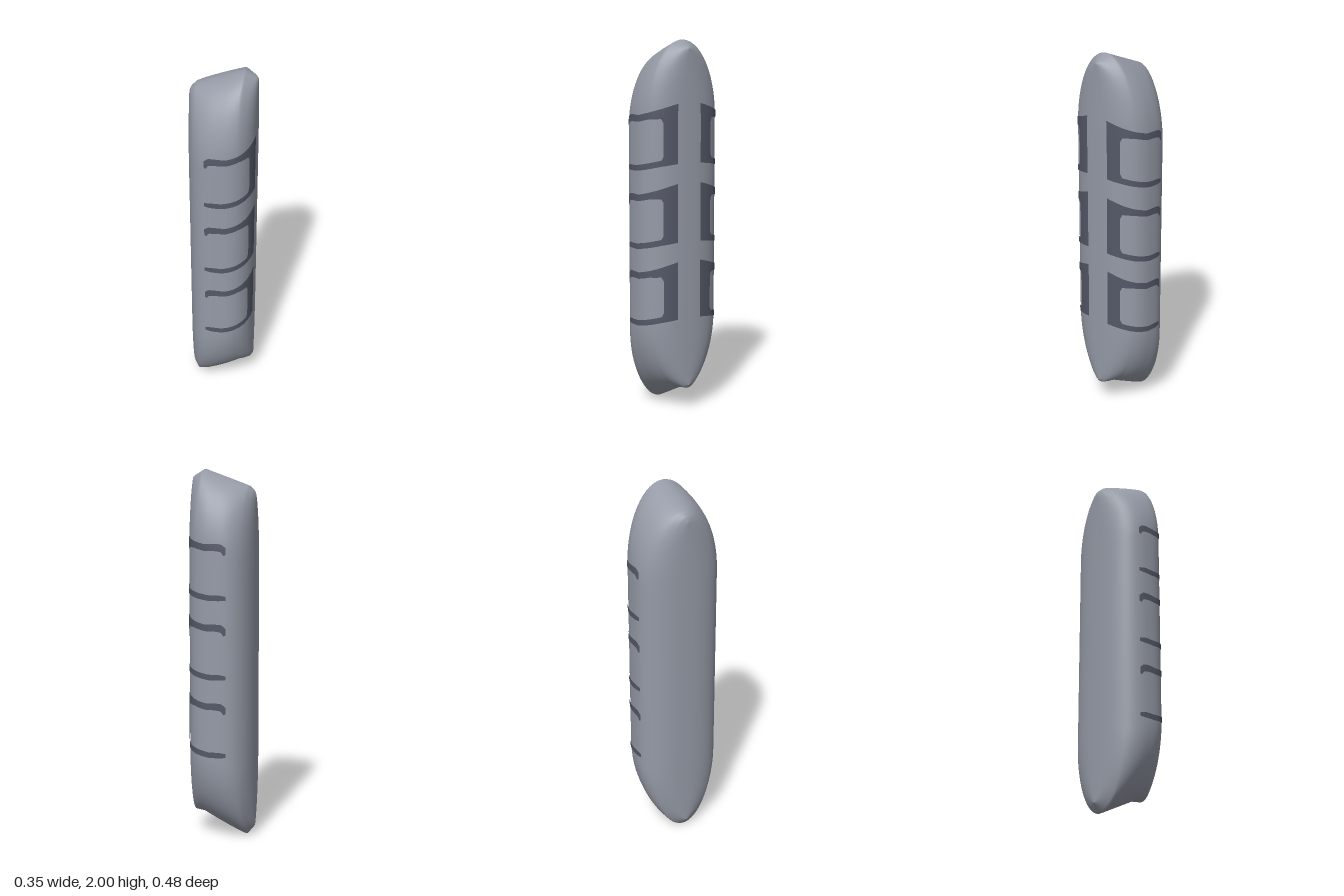
import * as THREE from 'three';
import { mergeVertices } from 'three/addons/utils/BufferGeometryUtils.js';

const HX = 0.175, HZ = 0.235, END = 0.4;

// Outline of the slanted ends, as [x, y]
const TOP = [[-0.175, 1.86], [-0.165, 1.885], [-0.14, 1.91], [0.08, 1.99], [0.105, 2], [0.13, 1.985], [0.165, 1.965], [0.175, 1.955]];
const BOTTOM = [[-0.175, 0.05], [-0.135, 0], [0.1, 0.115], [0.16, 0.12], [0.175, 0.14]];

// Piecewise linear lookup of column k
function lookup(table, x, k = 1) {
  let i = 1;
  while (i < table.length - 1 && x > table[i][0]) i++;
  const [a, b] = [table[i - 1], table[i]];
  const f = THREE.MathUtils.clamp((x - a[0]) / (b[0] - a[0]), 0, 1);
  return a[k] + (b[k] - a[k]) * f;
}

const curve = v => Math.sign(v) * Math.pow(Math.abs(v), 0.8);
const sideX = angle => HX * curve(Math.cos(angle));

// Point on the pebble-like skin at an angle round the body and a height
function skin(angle, y, lift = 0) {
  const x = sideX(angle);
  const d = Math.min(lookup(TOP, x) - y, y - lookup(BOTTOM, x));
  const e = 1 - THREE.MathUtils.clamp(d / END, 0, 1);
  const w = Math.sqrt(1 - e * e);
  const k = 1 + lift;
  return [x * k, y, HZ * curve(Math.sin(angle)) * w * k];
}

// Surface from a grid of points
function grid(cols, rows, point, flip) {
  const pos = [], index = [];
  for (let j = 0; j <= rows; j++)
    for (let i = 0; i <= cols; i++) pos.push(...point(i, j));
  for (let j = 0; j < rows; j++)
    for (let i = 0; i < cols; i++) {
      const a = j * (cols + 1) + i, b = a + 1, c = a + cols + 1, d = c + 1;
      if (flip) index.push(a, b, c, b, d, c);
      else index.push(a, c, b, b, c, d);
    }
  let g = new THREE.BufferGeometry();
  g.setAttribute('position', new THREE.Float32BufferAttribute(pos, 3));
  g.setIndex(index);
  g = mergeVertices(g, 1e-5);
  g.computeVertexNormals();
  return g;
}

function bodyGeometry() {
  const cols = 128, cap = 20, mid = 12, rows = cap * 2 + mid;
  return grid(cols, rows, (i, j) => {
    const angle = (i / cols) * Math.PI * 2;
    const x = sideX(angle), lo = lookup(BOTTOM, x), hi = lookup(TOP, x);
    const capDepth = n => END * (1 - Math.cos((n / cap) * Math.PI / 2));
    let y;
    if (j <= cap) y = lo + capDepth(j);
    else if (j >= cap + mid) y = hi - capDepth(rows - j);
    else y = lo + END + (hi - lo - 2 * END) * (j - cap) / mid;
    return skin(angle, y);
  });
}

// Bracket pieces as [angle, upper edge, lower edge], heights from its top
const BRACKET = {
  bar: [[0.222, 0, -0.315], [0.579, -0.022, -0.325]],
  upperArm: [[0.579, -0.022, -0.1], [0.64, -0.026, -0.078], [1, -0.044, -0.08], [1.4, -0.06, -0.095],
    [1.6, -0.058, -0.095], [1.75, -0.06, -0.1], [1.82, -0.07, -0.12], [1.88, -0.08, -0.115]],
  lowerArm: [[0.579, -0.275, -0.325], [0.64, -0.295, -0.327], [1.1, -0.312, -0.343], [1.5, -0.325, -0.355],
    [1.7, -0.325, -0.355], [1.88, -0.332, -0.352]],
};

function ribbon(table, top, side) {
  const start = table[0][0], span = table[table.length - 1][0] - start;
  const cols = Math.ceil(span / 0.03), rows = 8;
  return grid(cols, rows, (i, j) => {
    const a = start + span * i / cols;
    const up = lookup(table, a, 1), down = lookup(table, a, 2);
    return skin(a * side, top + down + (up - down) * j / rows, 0.015);
  }, side < 0);
}

export function createModel() {
  const shell = new THREE.MeshStandardMaterial({ color: 0x959aa6 });
  shell.name = 'shell grey';
  const dark = new THREE.MeshStandardMaterial({ color: 0x545867 });
  dark.name = 'dark grey';

  const model = new THREE.Group();
  model.name = 'slantedCapsule';
  const body = new THREE.Mesh(bodyGeometry(), shell);
  body.name = 'body';
  model.add(body);

  // Three painted brackets on the front, mirrored on the back
  for (const side of [1, -1])
    for (let n = 0; n < 3; n++) {
      const bracket = new THREE.Group();
      bracket.name = (side > 0 ? 'frontBracket' : 'backBracket') + (n + 1);
      for (const [name, table] of Object.entries(BRACKET)) {
        const mesh = new THREE.Mesh(ribbon(table, 1.67 - 0.42 * n, side), dark);
        mesh.name = name;
        bracket.add(mesh);
      }
      model.add(bracket);
    }
  return model;
}
